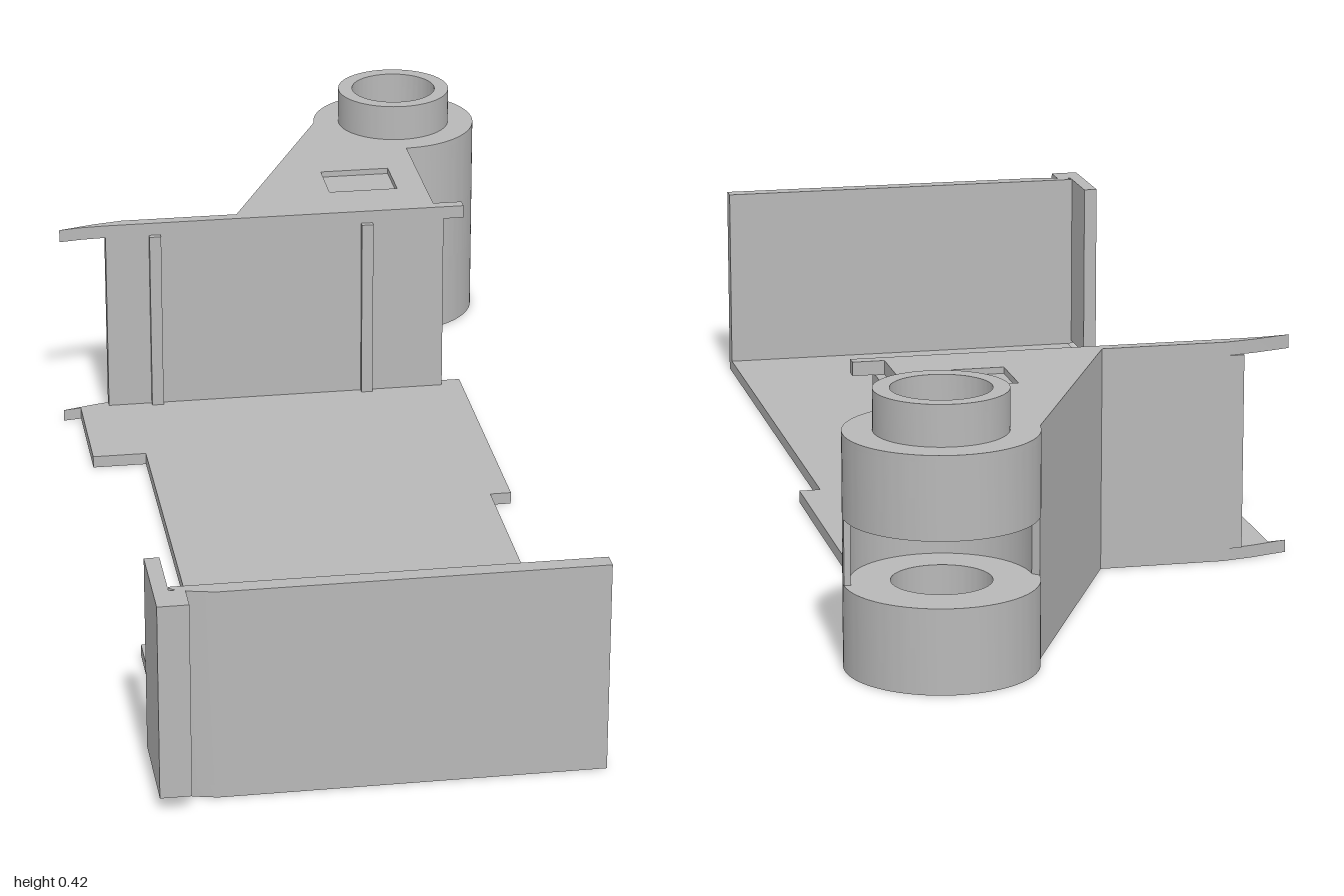
import * as THREE from 'three';
import { toCreasedNormals } from 'three/addons/utils/BufferGeometryUtils.js';

export function createModel() {
  const model = new THREE.Group();
  model.name = 'hingedBracket';
  const grey = new THREE.MeshStandardMaterial({ color: 0xb8b8b8 });
  grey.name = 'plain grey';

  // Extrudes a plan shape (x, -z) upward from y0 to y1
  function slab(name, shape, y0, y1) {
    const g = new THREE.ExtrudeGeometry(shape, { depth: y1 - y0, bevelEnabled: false, curveSegments: 40 });
    g.rotateX(-Math.PI / 2);
    g.translate(0, y0, 0);
    const mesh = new THREE.Mesh(toCreasedNormals(g, 0.5), grey);
    mesh.name = name;
    model.add(mesh);
  }
  const plan = (pts) => new THREE.Shape(pts.map(([x, z]) => new THREE.Vector2(x, -z)));
  const rect = (x0, x1, z0, z1) => plan([[x0, z0], [x0, z1], [x1, z1], [x1, z0]]);

  // Floor with a side notch, a side tab and a rounded front corner
  slab('floor', plan([
    [-0.37, -0.42], [-0.37, -0.21], [-0.28, -0.21], [-0.28, 0.5], [-0.37, 0.5], [-0.37, 0.945],
    [-0.345, 0.957], [-0.31, 0.965], [0.27, 0.965], [0.27, 0.04], [0.305, 0.04], [0.305, -0.42],
  ]), 0, 0.02);

  // Front wall and its L-shaped end flange
  slab('frontWall', plan([
    [-0.38, 0.938], [-0.37, 0.948], [-0.345, 0.957], [-0.31, 0.965], [0.27, 0.965], [0.27, 0.938],
  ]), 0.02, 0.335);
  slab('endFlange', plan([
    [-0.4, 0.84], [-0.4, 1], [-0.353, 1], [-0.353, 0.95], [-0.377, 0.95], [-0.377, 0.84],
  ]), 0.025, 0.335);

  // Back wall between two lips that curl forward at one end
  slab('backWall', rect(-0.32, 0.27, -0.44, -0.42), 0.02, 0.335);
  for (const [name, y0, y1] of [['bottomLip', 0, 0.02], ['topLip', 0.335, 0.357]]) {
    slab(name, plan([
      [-0.4, -0.412], [-0.36, -0.418], [-0.32, -0.42], [0.305, -0.42], [0.305, -0.44],
      [-0.29, -0.44], [-0.34, -0.43],
    ]), y0, y1);
  }
  for (const x of [-0.235, 0.135]) slab('wallRib', rect(x - 0.01, x + 0.01, -0.42, -0.41), 0.02, 0.335);
  slab('sidePost', rect(0.255, 0.27, -0.49, -0.44), 0.025, 0.335);

  // Arm ending in a round hinge barrel
  const cx = 0.255, cy = 0.86, R = 0.145, bore = 0.075;
  const circle = (r) => new THREE.Path().absarc(cx, cy, r, 0, Math.PI * 2, false);
  function armShape() {
    const s = new THREE.Shape();
    s.moveTo(-0.09, 0.44);
    s.lineTo(0.11, 0.87);
    s.absarc(cx, cy, R, Math.PI - 0.07, -Math.PI / 2, true);
    s.lineTo(cx, 0.44);
    s.closePath();
    s.holes.push(circle(bore));
    return s;
  }
  slab('armLower', armShape(), 0, 0.13);
  slab('armUpper', armShape(), 0.23, 0.347);

  // Middle layer, opened at the back for the hinge slot
  const mid = new THREE.Shape();
  mid.moveTo(-0.09, 0.44);
  mid.lineTo(0.11, 0.87);
  mid.absarc(cx, cy, R - 0.01, Math.PI, Math.PI * 2, false);
  mid.absarc(cx, cy, R, 0, -Math.PI / 2 - 0.087, true);
  mid.lineTo(0.2424, 0.695);
  mid.lineTo(cx, 0.695);
  mid.lineTo(cx, 0.44);
  mid.closePath();
  slab('armSlotLayer', mid, 0.13, 0.23);

  // Top skin with a shallow square recess
  const skin = armShape();
  skin.holes.push(new THREE.Path([[0.085, 0.52], [0.205, 0.52], [0.205, 0.62], [0.085, 0.62]]
    .map(([x, y]) => new THREE.Vector2(x, y))));
  slab('armTopSkin', skin, 0.347, 0.357);

  // Raised collar on the barrel
  const collar = new THREE.Shape().absarc(cx, cy, 0.1, 0, Math.PI * 2, false);
  collar.holes.push(circle(bore));
  slab('hingeCollar', collar, 0.357, 0.42);

  return model;
}
